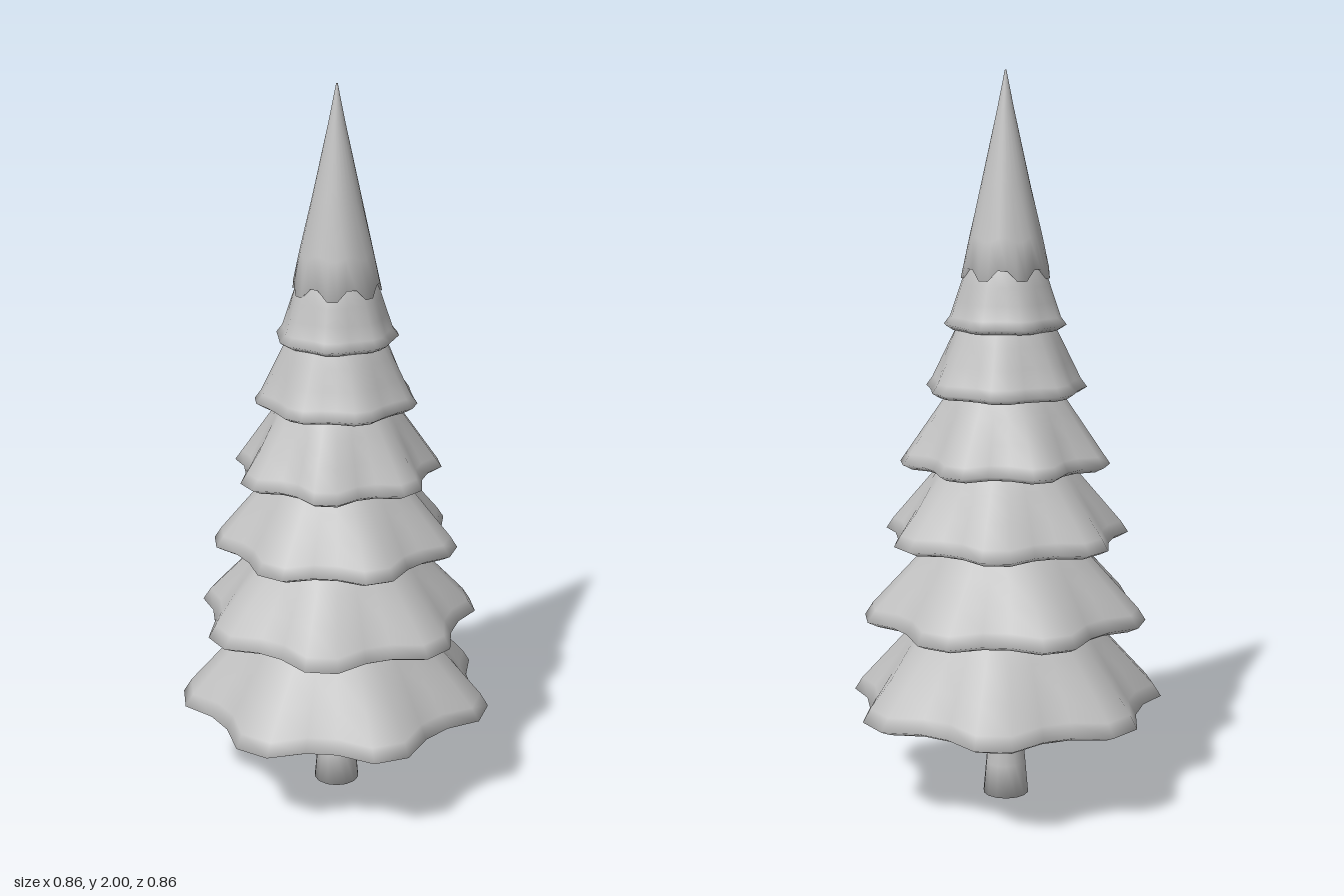
import * as THREE from 'three';

const SEG = 28; // four segments for each of seven lobes
const STEP = (Math.PI * 2) / SEG;
const foliageGrey = new THREE.MeshStandardMaterial({ color: 0xc0c0c0 });

// Lofts a smooth skin through rings ordered along the surface.
// Each ring: radius r, height y, lobe depth a, droop of the lobes d.
function loft(name, rings, phase) {
  const pos = [], idx = [];
  for (const { r, y, a = 0, d = 0 } of rings) {
    for (let i = 0; i < SEG; i++) {
      const t = i * STEP, wave = Math.cos(7 * (t - phase));
      const rr = r + a * wave;
      pos.push(rr * Math.cos(t), y - d * wave, rr * Math.sin(t));
    }
  }
  for (let k = 0; k < rings.length - 1; k++) {
    for (let i = 0; i < SEG; i++) {
      const j = (i + 1) % SEG;
      const a = k * SEG + i, b = k * SEG + j, c = a + SEG, e = b + SEG;
      idx.push(a, b, c, b, e, c);
    }
  }
  const g = new THREE.BufferGeometry();
  g.setAttribute('position', new THREE.Float32BufferAttribute(pos, 3));
  g.setIndex(idx);
  g.computeVertexNormals();
  const mesh = new THREE.Mesh(g, foliageGrey);
  mesh.name = name;
  return mesh;
}

// One skirt of branches: sloping skin, drooping rounded rim, hollow underside
function makeTier(name, { R, y, neck, top, a }, phase) {
  const d = a * 0.1;
  const lipW = 0.012 + R * 0.025, lipH = 0.025 + R * 0.06;
  const shoulder = { r: R - lipW, y: y + lipH };
  const slope = [0, 0.35, 0.7, 1].map((t) => ({
    r: THREE.MathUtils.lerp(neck, shoulder.r, t),
    y: THREE.MathUtils.lerp(top, shoulder.y, t),
    a: a * t,
    d: d * t,
  }));
  return loft(name, [
    { r: neck * 0.6, y: top + 0.08 },
    ...slope,
    { r: R, y: y + 0.014, a, d },
    { r: R - lipW * 1.3, y, a: a * 0.9, d },
    { r: R * 0.65, y: y + 0.045, a: a * 0.4 },
    { r: R * 0.3, y: y + 0.08 },
    { r: 0.001, y: y + 0.09 },
  ], phase);
}

export function createModel() {
  const tree = new THREE.Group();
  tree.name = 'tree';

  // Trunk, flared at the foot
  const trunkProfile = [[0, 0], [0.064, 0], [0.056, 0.09], [0.048, 0.18], [0.045, 0.27], [0.045, 0.4]];
  const trunk = new THREE.Mesh(
    new THREE.LatheGeometry(trunkProfile.map(([x, y]) => new THREE.Vector2(x, y)), 14),
    foliageGrey,
  );
  trunk.name = 'trunk';
  tree.add(trunk);

  // Branch tiers from the bottom up, lobes staggered by half a lobe
  const tiers = [
    { R: 0.411, y: 0.262, neck: 0.215, top: 0.53, a: 0.035 },
    { R: 0.368, y: 0.51, neck: 0.185, top: 0.75, a: 0.03 },
    { R: 0.32, y: 0.737, neck: 0.165, top: 0.96, a: 0.025 },
    { R: 0.27, y: 0.943, neck: 0.145, top: 1.16, a: 0.024 },
    { R: 0.214, y: 1.142, neck: 0.125, top: 1.34, a: 0.01 },
    { R: 0.162, y: 1.317, neck: 0.105, top: 1.485, a: 0.006 },
  ];
  tiers.forEach((spec, i) => {
    tree.add(makeTier(`branchTier${i + 1}`, spec, (i % 2 ? -0.5 : 1.5) * STEP));
  });

  // Pointed crown with a scalloped hem
  const crown = loft('crown', [
    { r: 0.002, y: 2 },
    { r: 0.022, y: 1.9 },
    { r: 0.066, y: 1.7 },
    { r: 0.098, y: 1.56, d: 0.008 },
    { r: 0.118, y: 1.468, a: 0.003, d: 0.02 },
    { r: 0.08, y: 1.478, d: 0.01 },
    { r: 0.001, y: 1.5 },
  ], -0.5 * STEP);
  tree.add(crown);

  tree.position.x = 0.006;
  const model = new THREE.Group();
  model.add(tree);
  return model;
}
